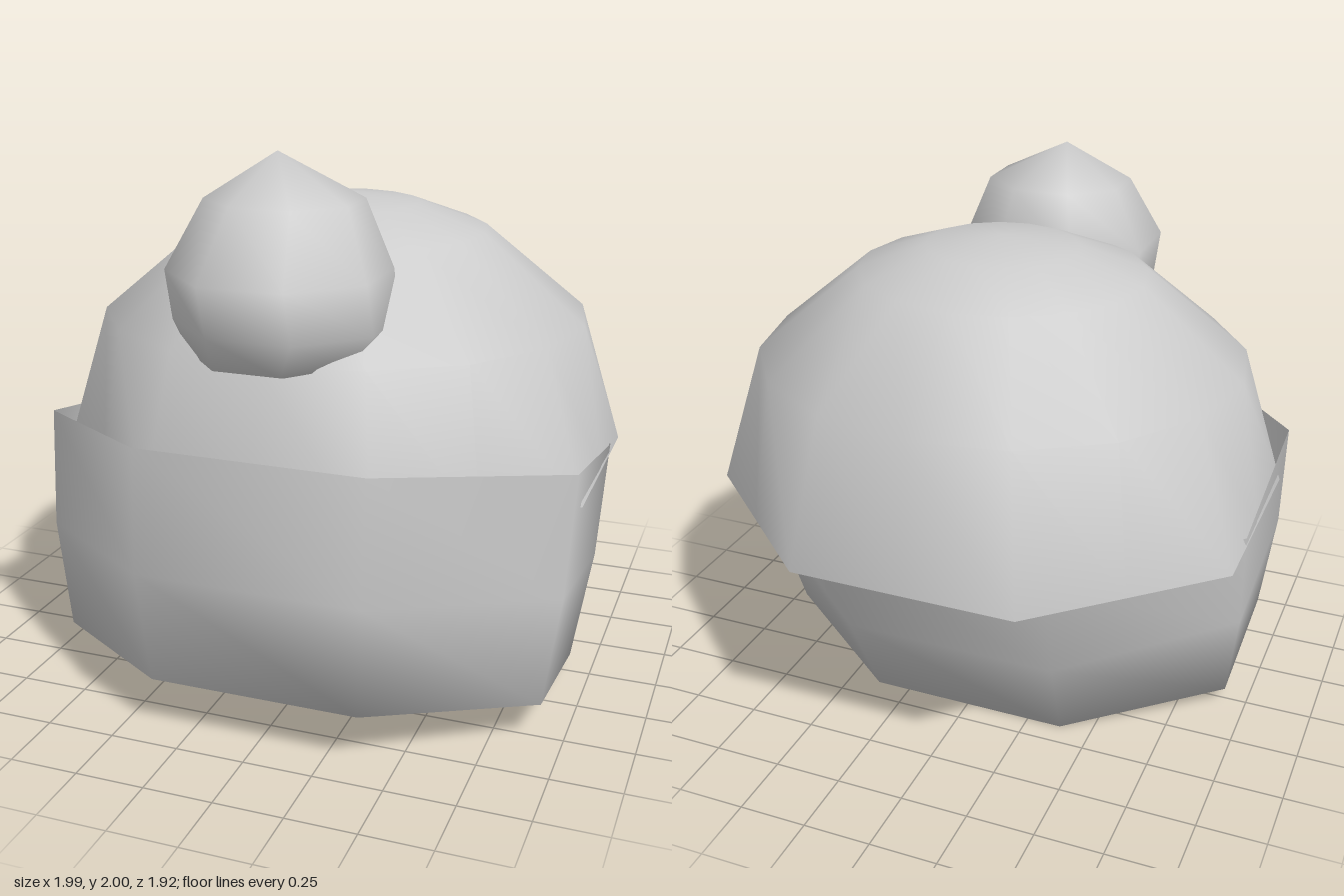
import * as THREE from 'three';

const material = new THREE.MeshStandardMaterial({ color: 0xcccccc, side: THREE.DoubleSide });

// Point on a ring; slope tilts it up towards the front, and octagon pulls
// the in-between points of a 16-point ring onto the straight octagon edges
function ringPoint({ y, z, rx, rz, x = 0, slope = 0, octagon = false }, i, sides) {
  const a = (i / sides) * Math.PI * 2 + Math.PI / 8;
  const s = octagon && i % 2 ? Math.cos(Math.PI / 8) : 1;
  const dz = Math.cos(a) * rz * s;
  return [x + Math.sin(a) * rx * s, y + slope * dz, z + dz];
}

// Skin a stack of rings from bottom to top, with optional end fans
function loft(name, sides, rings, { bottom = false, top = null } = {}) {
  const pos = [];
  const index = [];
  rings.forEach((r) => {
    for (let i = 0; i < sides; i++) pos.push(...ringPoint(r, i, sides));
  });
  const last = (rings.length - 1) * sides;
  const apex = pos.length / 3;
  if (top) pos.push(...top);
  for (let i = 0; i < sides; i++) {
    const j = (i + 1) % sides;
    for (let k = 0; k < last; k += sides) {
      index.push(k + i, k + j, k + sides + i, k + j, k + sides + j, k + sides + i);
    }
    if (top) index.push(last + i, last + j, apex);
    if (bottom && i > 0 && i < sides - 1) index.push(0, i + 1, i);
  }
  const geometry = new THREE.BufferGeometry();
  geometry.setAttribute('position', new THREE.Float32BufferAttribute(pos, 3));
  geometry.setIndex(index);
  geometry.computeVertexNormals();
  const mesh = new THREE.Mesh(geometry, material);
  mesh.name = name;
  return mesh;
}

export function createModel() {
  const group = new THREE.Group();
  group.name = 'bobbleHat';

  // Domed crown: octagonal rim rounding off into a 16-sided dome
  const rim = { y: 0.815, z: -0.045, rx: 1.075, rz: 0.99 };
  group.add(loft('crown', 16, [
    { ...rim, octagon: true },
    { y: 1.35, z: -0.042, rx: 0.905, rz: 0.845 },
    { y: 1.66, z: -0.04, rx: 0.53, rz: 0.49 },
    { y: 1.75, z: -0.04, rx: 0.28, rz: 0.26 },
  ], { top: [0, 1.785, -0.04] }));

  // Flat underside of the crown, kept separate for a hard edge
  group.add(loft('crownUnderside', 8, [rim], { bottom: true }));

  // Tilted turn-up band, open above and closed below
  group.add(loft('band', 8, [
    { y: 0.1, z: 0.25, rx: 0.995, rz: 0.714, slope: 0.15 },
    { y: 0.495, z: 0.19, rx: 1.055, rz: 0.833, slope: 0.162 },
    { y: 0.915, z: 0.11, rx: 1.075, rz: 0.877, slope: 0.179 },
  ], { bottom: true }));

  // Pompom: a coarse ball with a peaked top, its base sunk into the crown
  group.add(loft('pompom', 8, [
    { y: 1.25, x: 0, z: 0.5, rx: 0.1, rz: 0.1 },
    { y: 1.335, x: -0.02, z: 0.55, rx: 0.31, rz: 0.33 },
    { y: 1.45, x: 0, z: 0.555, rx: 0.385, rz: 0.36 },
    { y: 1.62, x: -0.02, z: 0.56, rx: 0.385, rz: 0.368 },
    { y: 1.85, x: -0.015, z: 0.52, rx: 0.275, rz: 0.24 },
  ], { top: [-0.05, 2, 0.49] }));

  return group;
}
